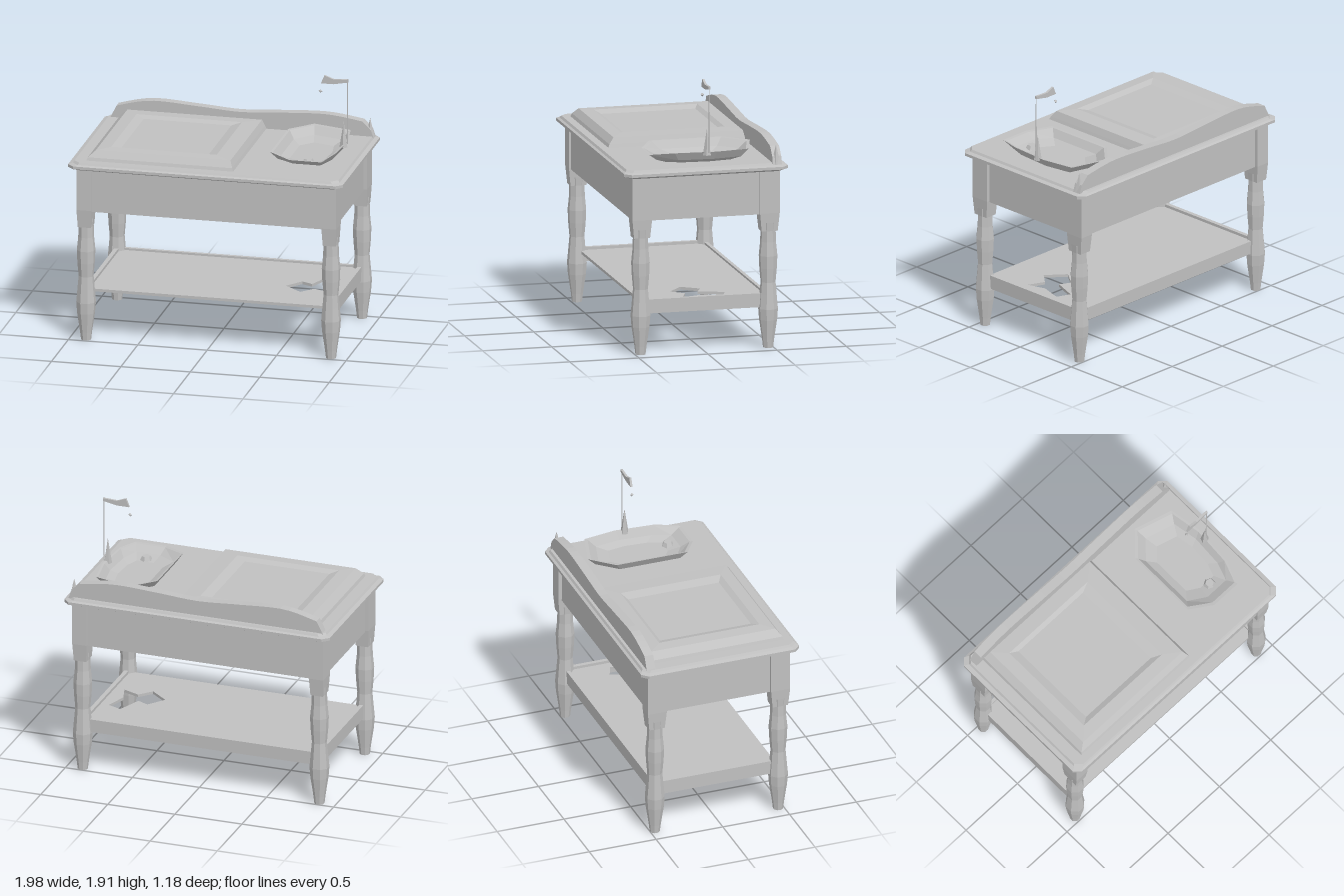
import * as THREE from 'three';

const grey = new THREE.MeshStandardMaterial({ color: 0xc0c0c0, flatShading: true, side: THREE.DoubleSide });
grey.name = 'plain grey';

export function createModel() {
  const model = new THREE.Group();
  model.name = 'washstand';

  const add = (name, geometry, x = 0, y = 0, z = 0, parent = model) => {
    const mesh = new THREE.Mesh(geometry, grey);
    mesh.name = name;
    mesh.position.set(x, y, z);
    parent.add(mesh);
    return mesh;
  };

  // Box given by its min and max on each axis
  const slab = (name, x0, x1, y0, y1, z0, z1) =>
    add(name, new THREE.BoxGeometry(x1 - x0, y1 - y0, z1 - z0), (x0 + x1) / 2, (y0 + y1) / 2, (z0 + z1) / 2);

  // Joins equal-length rings of [x, y, z] points; can cap the last ring
  const loft = (rings, capEnd = false) => {
    const n = rings[0].length;
    const index = [];
    for (let r = 0; r < rings.length - 1; r++) {
      for (let i = 0; i < n; i++) {
        const a = r * n + i, b = r * n + (i + 1) % n;
        index.push(a, b, a + n, b, b + n, a + n);
      }
    }
    const last = (rings.length - 1) * n;
    if (capEnd) for (let i = 1; i < n - 1; i++) index.push(last, last + i, last + i + 1);
    const g = new THREE.BufferGeometry();
    g.setAttribute('position', new THREE.Float32BufferAttribute(rings.flat(2), 3));
    g.setIndex(index);
    g.computeVertexNormals();
    return g;
  };

  // Rings anticlockwise seen from above: plain, and with cut corners
  const rect = (x0, x1, z0, z1, y) => [[x0, y, z1], [x1, y, z1], [x1, y, z0], [x0, y, z0]];
  const cutRect = (x, z, y, c = 0.045) => [
    [-x, y, z - c], [c - x, y, z], [x - c, y, z], [x, y, z - c],
    [x, y, c - z], [x - c, y, -z], [c - x, y, -z], [-x, y, c - z],
  ];

  // Cabinet: long front and back faces, ends set back between the legs
  slab('apron', -0.91, 0.91, 0.96, 1.29, -0.51, 0.51);
  slab('apronFront', -0.93, 0.93, 0.96, 1.29, 0.49, 0.515);

  // Turned legs with square blocks at the top
  const legProfile = [
    [0.0, 0], [0.036, 0], [0.043, 0.06], [0.064, 0.2], [0.07, 0.28], [0.061, 0.38], [0.053, 0.47],
    [0.062, 0.57], [0.066, 0.66], [0.056, 0.76], [0.054, 0.84], [0.06, 0.9],
  ].map(([r, y]) => new THREE.Vector2(r, y));
  for (const sx of [-1, 1]) {
    for (const z of [-0.465, 0.458]) {
      add('leg', new THREE.LatheGeometry(legProfile, 8, Math.PI / 8), sx * 0.882, 0, z);
      add('legBlock', loft([
        rect(-0.046, 0.046, -0.058, 0.058, 0.84),
        rect(-0.053, 0.053, -0.071, 0.071, 0.97),
        rect(-0.053, 0.053, -0.071, 0.071, 1.29),
      ]), sx * 0.882, 0, z);
    }
  }

  // Lower shelf with a ragged hole near one end
  const polygon = (Type, pts) => new Type(pts.map(([x, z]) => new THREE.Vector2(x, -z)));
  const shelf = polygon(THREE.Shape, [[-0.87, 0.44], [0.87, 0.44], [0.87, -0.45], [-0.87, -0.45]]);
  shelf.holes.push(polygon(THREE.Path, [
    [0.46, 0.06], [0.55, -0.06], [0.63, -0.02], [0.7, -0.2], [0.8, -0.16],
    [0.75, 0], [0.79, 0.13], [0.67, 0.08], [0.59, 0.17],
  ]));
  const shelfGeometry = new THREE.ExtrudeGeometry(shelf, { depth: 0.02, bevelEnabled: false });
  shelfGeometry.rotateX(-Math.PI / 2);
  add('shelf', shelfGeometry, 0, 0.35, 0);
  slab('backRail', -0.85, 0.85, 0.29, 0.385, -0.475, -0.45);
  for (const s of [-1, 1]) slab('sideRail', s * 0.875 - 0.015, s * 0.875 + 0.015, 0.29, 0.39, -0.42, 0.42);

  // Counter top with cut corners and a stepped edge
  add('counterTop', loft([
    cutRect(0.91, 0.5, 1.275),
    cutRect(0.96, 0.56, 1.275),
    cutRect(0.99, 0.592, 1.29),
    cutRect(0.99, 0.592, 1.31),
    cutRect(0.96, 0.575, 1.318),
    cutRect(0.95, 0.565, 1.333),
  ], true));

  // Wavy splashback
  const splash = new THREE.Shape();
  splash.moveTo(-0.94, 1.32);
  splash.lineTo(0.96, 1.32);
  splash.lineTo(0.94, 1.38);
  splash.lineTo(0.88, 1.44);
  splash.splineThru([[0.62, 1.473], [0.3, 1.46], [0, 1.442], [-0.3, 1.46], [-0.64, 1.475], [-0.89, 1.42]]
    .map(([x, y]) => new THREE.Vector2(x, y)));
  const splashGeometry = new THREE.ExtrudeGeometry(splash, { depth: 0.065, bevelEnabled: false, curveSegments: 4 });
  add('splashback', splashGeometry, 0, 0, -0.545);

  // Raised tray with a sunken middle
  add('tray', loft([
    rect(-0.87, 0.19, -0.48, 0.51, 1.33),
    rect(-0.86, 0.18, -0.48, 0.5, 1.355),
    rect(-0.81, 0.16, -0.47, 0.465, 1.4),
    rect(-0.72, 0.04, -0.37, 0.38, 1.405),
    rect(-0.66, -0.03, -0.34, 0.34, 1.385),
  ], true));

  // Faceted basin: outer wall, rim, inner wall and floor
  const outline = [[0.4, 0.27], [0.56, 0.37], [0.79, 0.37], [0.85, 0.2], [0.87, -0.1], [0.83, -0.34], [0.55, -0.42], [0.4, -0.26]];
  const basinRing = (s, y, dip = 0) => outline.map(([x, z]) =>
    [0.64 + (x - 0.64) * s, z > 0.3 ? y - dip : y, -0.02 + (z + 0.02) * s]);
  add('basin', loft([basinRing(0.62, 1.33), basinRing(0.85, 1.36), basinRing(1, 1.418, 0.015),
    basinRing(0.94, 1.415, 0.015), basinRing(0.78, 1.365), basinRing(0.55, 1.34)], true));
  add('drainPlug', new THREE.CylinderGeometry(0.03, 0.045, 0.03, 6), 0.66, 1.36, 0.22);

  // Slim tap with a pointed base and a flat tapering spout
  const tap = new THREE.Group();
  tap.name = 'tap';
  tap.position.set(0.88, 0, -0.04);
  model.add(tap);
  add('tapStem', new THREE.CylinderGeometry(0.003, 0.005, 0.48, 6), 0, 1.655, 0, tap);
  add('tapBase', new THREE.ConeGeometry(0.03, 0.19, 5), -0.025, 1.49, 0.01, tap);
  const spout = new THREE.Shape();
  [[0.005, 1.89], [-0.1, 1.885], [-0.165, 1.91], [-0.19, 1.85], [-0.1, 1.85], [0.005, 1.87]]
    .forEach(([x, y], i) => (i ? spout.lineTo(x, y) : spout.moveTo(x, y)));
  add('tapSpout', new THREE.ExtrudeGeometry(spout, { depth: 0.016, bevelEnabled: false }), 0, 0, -0.008, tap);
  add('tapDrip', new THREE.OctahedronGeometry(0.014), -0.195, 1.79, 0, tap);

  // Pointed end post beside the splashback
  add('endPost', new THREE.ConeGeometry(0.035, 0.14, 5), 0.93, 1.39, -0.51);

  return model;
}
